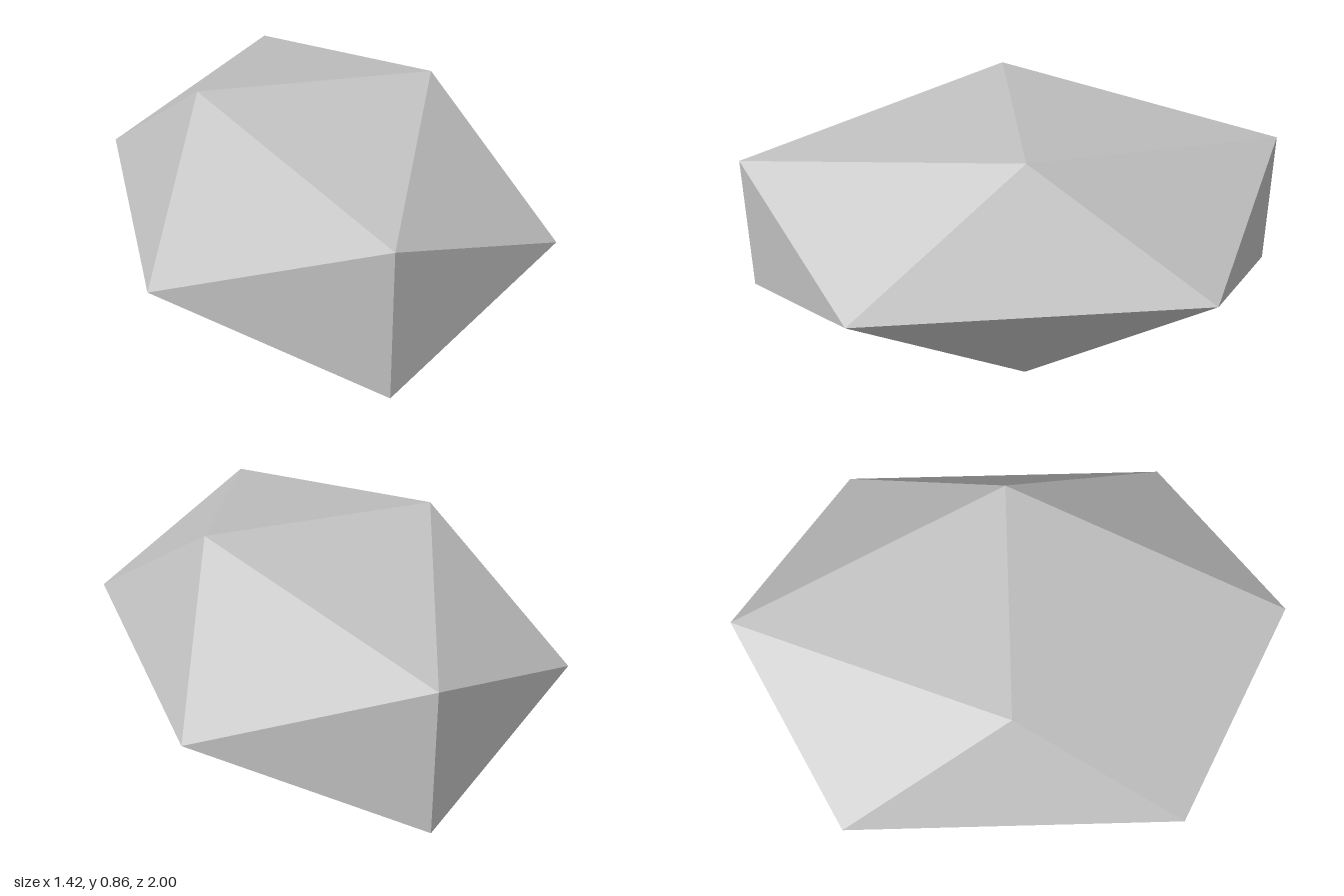
import * as THREE from 'three';

export function createModel() {
  const group = new THREE.Group();
  group.name = 'stone';

  const stoneGrey = new THREE.MeshStandardMaterial({ color: 0xc0c0c0, flatShading: true });
  stoneGrey.name = 'stone grey';

  // Twenty-sided rock, stretched along z and flattened in y
  const halfX = 0.71, halfY = 0.43, halfZ = 1;
  const geometry = new THREE.IcosahedronGeometry(1, 0);
  geometry.computeBoundingBox();
  const reach = geometry.boundingBox.max.x; // same on every axis
  geometry.scale(halfX / reach, halfY / reach, halfZ / reach);
  geometry.translate(0, halfY, 0);
  geometry.computeVertexNormals();

  const rock = new THREE.Mesh(geometry, stoneGrey);
  rock.name = 'rock';
  group.add(rock);
  return group;
}
